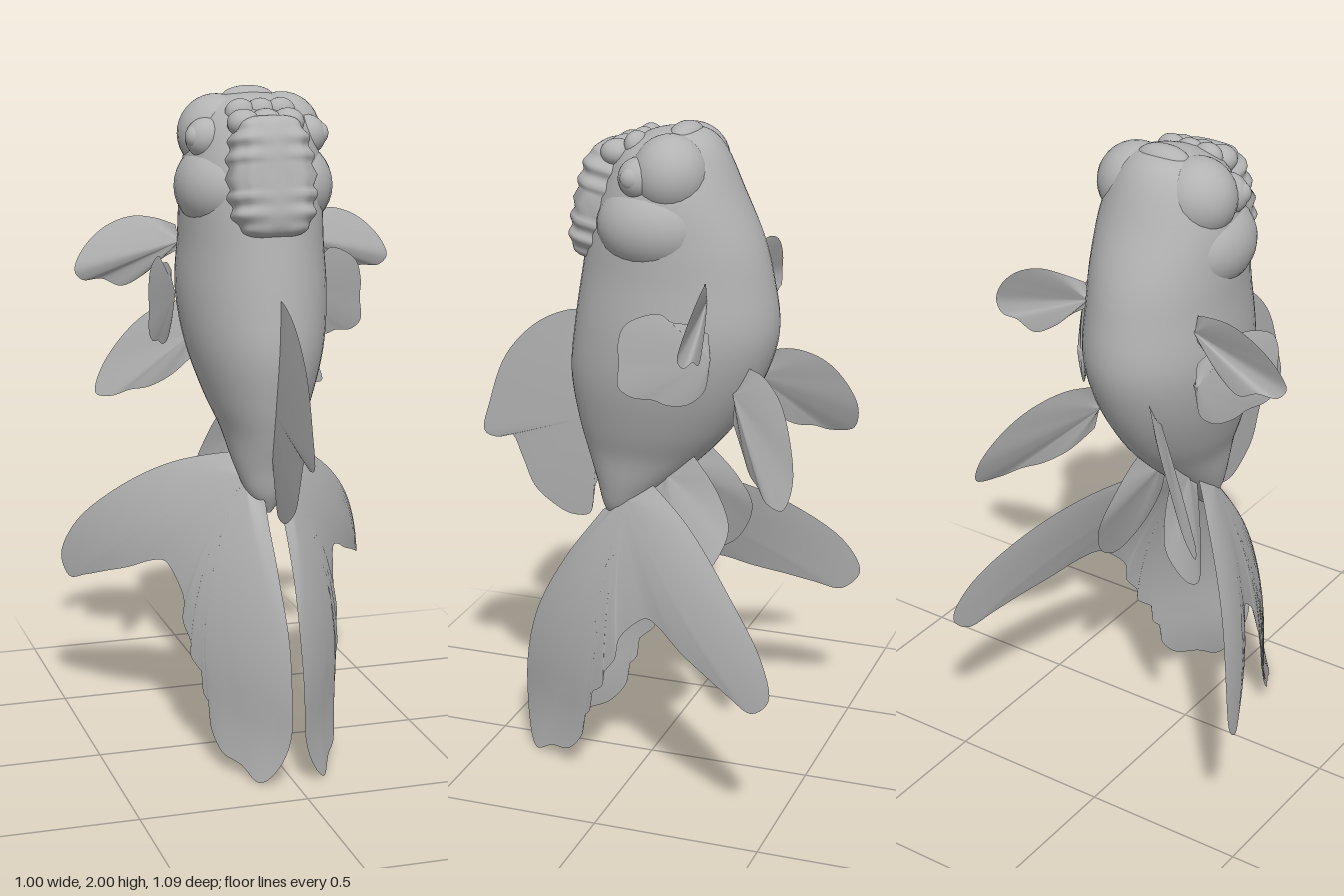
import * as THREE from 'three';

export function createModel() {
  const model = new THREE.Group();
  const grey = new THREE.MeshStandardMaterial({ color: 0xb3b3b3, side: THREE.DoubleSide });
  grey.name = 'warm grey';

  const add = (geo, name) => {
    const mesh = new THREE.Mesh(geo, grey);
    mesh.name = name;
    model.add(mesh);
    return mesh;
  };
  const indexed = (pos, idx) => {
    const g = new THREE.BufferGeometry();
    g.setAttribute('position', new THREE.Float32BufferAttribute(pos, 3));
    g.setIndex(idx);
    g.computeVertexNormals();
    return g;
  };
  const blob = (name, x, y, z, rx, ry, rz) => {
    const mesh = add(new THREE.SphereGeometry(1, 28, 18), name);
    mesh.position.set(x, y, z);
    mesh.scale.set(rx, ry, rz);
  };

  // Body: elliptical rings along y, each station is [y, back z, belly z, half width]
  const stations = [
    [1.985, -0.08, -0.12, 0.01], [1.97, 0, -0.175, 0.09], [1.92, 0.085, -0.22, 0.155],
    [1.8, 0.145, -0.275, 0.2], [1.67, 0.185, -0.335, 0.208], [1.56, 0.205, -0.365, 0.21],
    [1.4, 0.23, -0.385, 0.218], [1.25, 0.245, -0.34, 0.2], [1.1, 0.225, -0.25, 0.155],
    [1.0, 0.2, -0.16, 0.115], [0.9, 0.17, -0.05, 0.09], [0.82, 0.15, 0.03, 0.06],
    [0.76, 0.12, 0.09, 0.008],
  ];
  const profile = new THREE.CatmullRomCurve3(stations.map(([y, f, b]) => new THREE.Vector3(f, y, b)));
  const width = new THREE.CatmullRomCurve3(stations.map(([y, , , w]) => new THREE.Vector3(w, y, 0)));
  const rings = 60, sides = 48, pos = [], idx = [];
  for (let i = 0; i <= rings; i++) {
    const a = profile.getPoint(i / rings), w = width.getPoint(i / rings).x;
    for (let j = 0; j < sides; j++) {
      const t = (j / sides) * Math.PI * 2;
      pos.push(w * Math.sin(t), a.y, (a.x + a.z) / 2 + ((a.x - a.z) / 2) * Math.cos(t));
      if (i < rings) {
        const p = i * sides + j, q = i * sides + ((j + 1) % sides);
        idx.push(p, p + sides, q, q, p + sides, q + sides);
      }
    }
  }
  add(indexed(pos, idx), 'body');

  // Fin: a thin lens fanned from a root point to a curved rim; bend(y, z) gives x for curved fins
  function fin(name, root, rim, thick, side = 1, bend = null) {
    const v = ([x, y, z]) => new THREE.Vector3(x * side, y, z);
    const r = v(root);
    const edge = new THREE.CatmullRomCurve3(rim.map(v), false, 'centripetal').getPoints(rim.length * 5);
    const n = new THREE.Vector3();
    for (let i = 1; i < edge.length; i++) {
      n.add(edge[i - 1].clone().sub(r).cross(edge[i].clone().sub(r)));
    }
    n.normalize();
    const steps = 10, count = edge.length, p = [], f = [];
    for (const s of [1, -1]) {
      const base = p.length / 3;
      for (let k = 0; k <= steps; k++) {
        const t = k / steps;
        for (let i = 0; i < count; i++) {
          const end = Math.sin(Math.PI / 2 * Math.min(1, Math.min(i, count - 1 - i) / 10));
          const h = s * thick * (1 - t * t) * end;
          const c = r.clone().lerp(edge[i], t);
          if (bend) c.x = side * bend(c.y, c.z);
          p.push(...c.addScaledVector(n, h).toArray());
          if (k < steps && i < count - 1) {
            const a = base + k * count + i, b = a + 1, d = a + count, e = d + 1;
            if (s > 0) f.push(a, d, b, b, d, e);
            else f.push(a, b, d, b, e, d);
          }
        }
      }
    }
    add(indexed(p, f), name);
  }

  // Dorsal fin on the centre plane
  fin('dorsalFin', [0, 1.1, 0.16], [
    [0, 1.42, 0.2], [0, 1.41, 0.27], [0, 1.36, 0.37], [0, 1.25, 0.47], [0, 1.1, 0.525],
    [0, 1.0, 0.545], [0, 0.985, 0.5], [0, 1.0, 0.455], [0, 0.93, 0.42], [0, 0.84, 0.38],
    [0, 0.785, 0.31], [0, 0.765, 0.26], [0, 0.775, 0.2], [0, 0.86, 0.185], [0, 0.95, 0.14],
  ], 0.012);

  // Sideways sweep of the tail, growing away from its inner edge
  const tailSweep = (y, z) => {
    const e = 0.41 - 0.72 * (y - 0.2) ** 2 - z;
    return 0.02 + 0.72 * e - 0.2 * e * e + 0.06 * Math.max(0, 1 - y / 0.2) ** 2;
  };
  // Slanted plane of the squared side fins
  const flank = (y, z) => 0.336 + z * 0.57;

  for (const side of [1, -1]) {
    const label = side > 0 ? 'left' : 'right';

    // Forked tail half: long lower lobe and swept outer lobe, as [y, z]
    fin(label + 'Tail', [tailSweep(0.86, 0.06), 0.86, 0.06], [
      [0.8, 0.15], [0.62, 0.28], [0.42, 0.38], [0.2, 0.412], [0.06, 0.39], [0.005, 0.35],
      [0.04, 0.28], [0.06, 0.21], [0.13, 0.155], [0.18, 0.155], [0.22, 0.125], [0.27, 0.125],
      [0.32, 0.075], [0.36, 0.07], [0.42, 0.03], [0.48, 0.02], [0.54, -0.03], [0.575, -0.08],
      [0.565, -0.13], [0.525, -0.21], [0.49, -0.3], [0.455, -0.39], [0.43, -0.47],
      [0.485, -0.525], [0.59, -0.49], [0.73, -0.36], [0.85, -0.2], [0.91, -0.05], [0.93, 0.03],
    ].map(([y, z]) => [tailSweep(y, z), y, z]), 0.016, side, tailSweep);

    // Pectoral fin spreading sideways
    fin(label + 'PectoralFin', [0.18, 1.53, -0.22], [
      [0.19, 1.58, -0.222], [0.25, 1.6, -0.248], [0.32, 1.605, -0.262], [0.4, 1.575, -0.266],
      [0.47, 1.51, -0.258], [0.495, 1.45, -0.249], [0.47, 1.42, -0.256], [0.41, 1.42, -0.264],
      [0.35, 1.395, -0.262], [0.28, 1.43, -0.25], [0.23, 1.475, -0.238], [0.19, 1.5, -0.224],
    ], 0.008, side);

    // Squared side fin, as [y, z]
    fin(label + 'SideFin', [flank(1.37, -0.245), 1.37, -0.245], [
      [1.44, -0.24], [1.47, -0.2], [1.48, -0.15], [1.505, -0.12], [1.5, -0.07], [1.475, -0.03],
      [1.42, -0.015], [1.37, -0.018], [1.3, -0.015], [1.265, -0.05], [1.255, -0.1],
      [1.235, -0.14], [1.235, -0.19], [1.27, -0.23], [1.31, -0.24],
    ].map(([y, z]) => [flank(y, z), y, z]), 0.01, side);

    // Pelvic fin angled out from the belly
    fin(label + 'PelvicFin', [0.1, 1.24, -0.29], [
      [0.09, 1.32, -0.32], [0.15, 1.315, -0.39], [0.22, 1.27, -0.46], [0.29, 1.19, -0.51],
      [0.355, 1.08, -0.54], [0.378, 1.01, -0.52], [0.34, 1.01, -0.46], [0.29, 1.035, -0.42],
      [0.24, 1.05, -0.38], [0.18, 1.09, -0.34], [0.12, 1.16, -0.29],
    ], 0.01, side);

    // Anal fin under the tail root
    fin(label + 'AnalFin', [0.05, 0.95, -0.07], [
      [0.05, 1.05, -0.12], [0.07, 1.0, -0.175], [0.09, 0.92, -0.24], [0.115, 0.83, -0.28],
      [0.14, 0.75, -0.26], [0.155, 0.68, -0.21], [0.15, 0.655, -0.15], [0.11, 0.72, -0.08],
      [0.07, 0.83, -0.03], [0.055, 0.92, -0.02],
    ], 0.01, side);

    // Gill cover, brow bulge, eye and pupil
    blob(label + 'GillCover', side * 0.085, 1.715, -0.045, 0.15, 0.14, 0.175);
    blob(label + 'Brow', side * 0.1, 1.865, -0.09, 0.115, 0.115, 0.11);
    blob(label + 'Eye', side * 0.15, 1.86, -0.015, 0.062, 0.06, 0.06);
    blob(label + 'Pupil', side * 0.19, 1.865, -0.005, 0.026, 0.032, 0.032);
  }

  // Mouth ridge and snout bumps on top of the head
  blob('mouth', 0, 1.965, -0.105, 0.08, 0.035, 0.045);
  for (const x of [-0.06, 0, 0.06]) {
    blob('snoutBump', x, 1.935, 0.025, 0.045, 0.04, 0.035);
    blob('snoutBump', x * 1.1, 1.91, 0.08, 0.048, 0.04, 0.05);
  }

  // Bumpy hood down the back of the head: a rounded slab with rippled sides
  const slab = new THREE.SphereGeometry(1, 72, 72);
  const at = slab.attributes.position;
  const square = (c) => Math.sign(c) * Math.abs(c) ** 0.55;
  for (let i = 0; i < at.count; i++) {
    const x = square(at.getX(i)), y = square(at.getY(i)), z = square(at.getZ(i));
    const ripple = Math.cos(y * 20) * Math.min(1, Math.abs(x) * 1.3) + 0.5 * Math.cos(x * 11);
    const swell = 1 + 0.05 * ripple * (1 - y ** 6);
    const taper = 1 - 0.09 * Math.max(0, y);
    at.setXYZ(i, x * 0.125 * taper * swell, y * 0.175, z * 0.085 * (1 + (swell - 1) * 1.5));
  }
  slab.computeVertexNormals();
  const hood = add(slab, 'hood');
  hood.position.set(0, 1.758, 0.125);
  hood.rotation.x = -0.21;
  return model;
}
